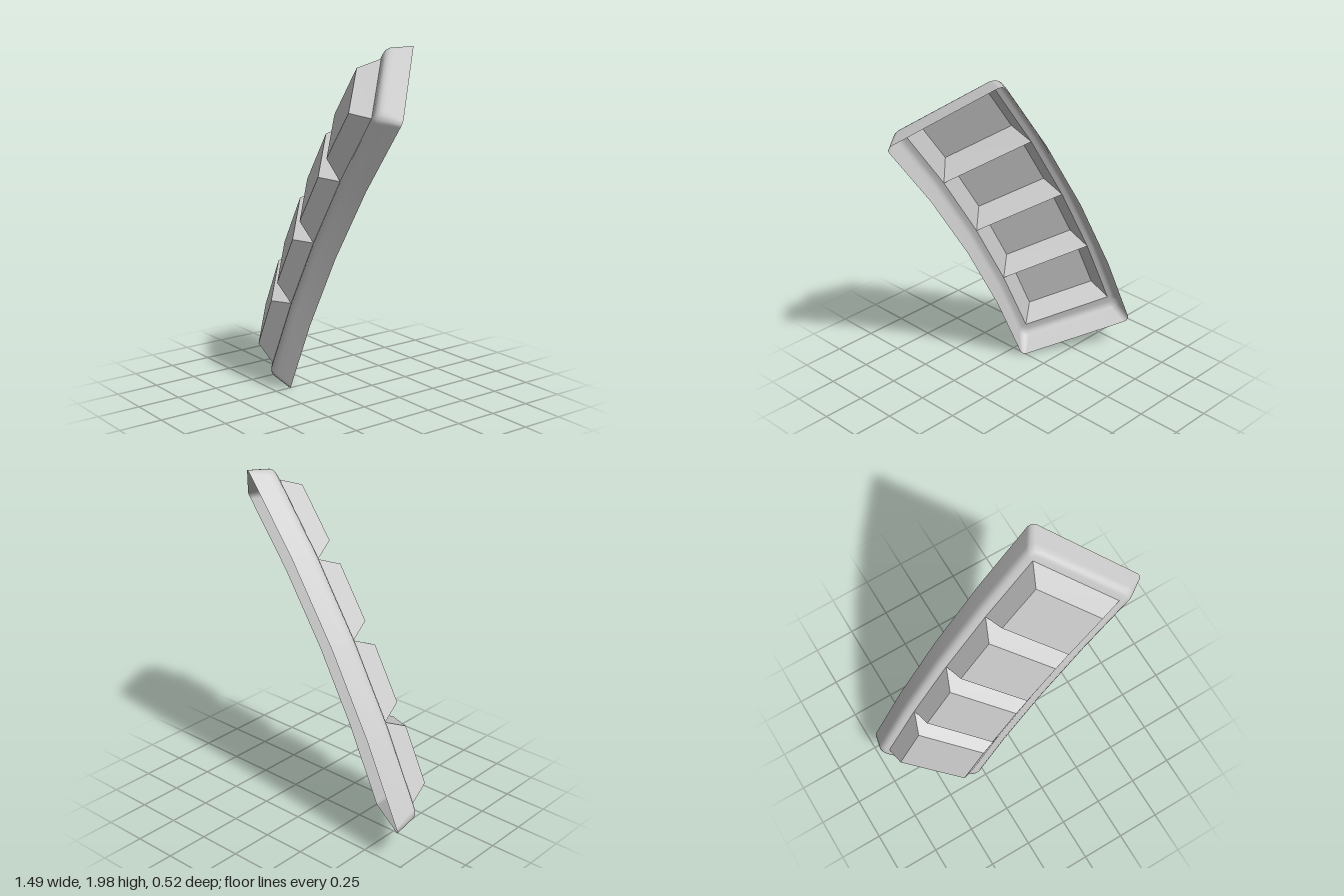
import * as THREE from 'three';

// Panel space: s across, t along, h out of the panel; the length bends around a far axis.
const RADIUS = 7.3625, MID = THREE.MathUtils.degToRad(149.3);
function bend(s, t, h) {
  const r = RADIUS - 0.79 * s + 0.613 * h;
  const a = MID - t / RADIUS;
  return [6.231 + r * Math.cos(a), -2.712 + r * Math.sin(a), 0.061 + 0.613 * s + 0.79 * h];
}

const HALF_W = 0.261, HALF_L = 0.912, PADS = 4, ARC = 4;

// One rounded-rectangle loop, with a point on the long sides at every pad joint.
function loop(hw, hl, h, rad) {
  const pts = [];
  const corners = [[1, 1], [-1, 1], [-1, -1], [1, -1]];
  corners.forEach(([sx, sy], c) => {
    for (let i = 0; i < ARC; i++) {
      const a = (c + i / (ARC - 1)) * Math.PI / 2;
      pts.push(bend(sx * (hw - rad) + rad * Math.cos(a), sy * (hl - rad) + rad * Math.sin(a), h));
    }
    if (c % 2 === 1) {
      for (let k = 1; k < PADS; k++) pts.push(bend(sx * hw, sy * hl * (1 - 2 * k / PADS), h));
    }
  });
  return pts;
}

// Open shell: flared side wall, rounded edge, flat border.
function rimGeometry() {
  const loops = [
    loop(0.341, 1.022, -0.132, 0.035),
    loop(0.319, 0.992, -0.04, 0.05),
    loop(0.313, 0.984, -0.02, 0.05),
    loop(0.301, 0.97, -0.005, 0.045),
    loop(0.284, 0.948, 0, 0.03),
    loop(HALF_W, HALF_L, 0, 0),
  ];
  const n = loops[0].length, index = [];
  for (let i = 0; i < loops.length - 1; i++) {
    for (let j = 0; j < n; j++) {
      const k = (j + 1) % n, a = i * n + j, b = i * n + k;
      index.push(a, b, b + n, a, b + n, a + n);
    }
  }
  const geo = new THREE.BufferGeometry();
  geo.setAttribute('position', new THREE.Float32BufferAttribute(loops.flat(2), 3));
  geo.setIndex(index);
  geo.computeVertexNormals();
  return geo;
}

// Raised pad: four sloping sides and a flat top, open behind.
function padGeometry(t0, t1) {
  const rect = (hw, a, b, h) =>
    [[hw, a], [hw, b], [-hw, b], [-hw, a]].map(([s, t]) => bend(s, t, h));
  const base = rect(HALF_W, t0, t1, 0);
  const top = rect(0.199, t0 + 0.067, t1 - 0.067, 0.105);
  const pos = [];
  const quad = (a, b, c, d) => pos.push(...a, ...b, ...c, ...a, ...c, ...d);
  for (let i = 0; i < 4; i++) {
    const k = (i + 1) % 4;
    quad(base[i], base[k], top[k], top[i]);
  }
  quad(...top);
  const geo = new THREE.BufferGeometry();
  geo.setAttribute('position', new THREE.Float32BufferAttribute(pos, 3));
  geo.computeVertexNormals();
  return geo;
}

export function createModel() {
  const group = new THREE.Group();
  group.name = 'paddedPanel';
  const grey = { color: 0xcccccc, side: THREE.DoubleSide };
  const smooth = new THREE.MeshStandardMaterial(grey);
  const flat = new THREE.MeshStandardMaterial({ ...grey, flatShading: true });

  const rim = new THREE.Mesh(rimGeometry(), smooth);
  rim.name = 'rim';
  group.add(rim);

  // Row of pads from bottom to top
  const step = 2 * HALF_L / PADS;
  for (let i = 0; i < PADS; i++) {
    const t0 = -HALF_L + i * step;
    const pad = new THREE.Mesh(padGeometry(t0, t0 + step), flat);
    pad.name = `pad${i + 1}`;
    group.add(pad);
  }
  return group;
}
